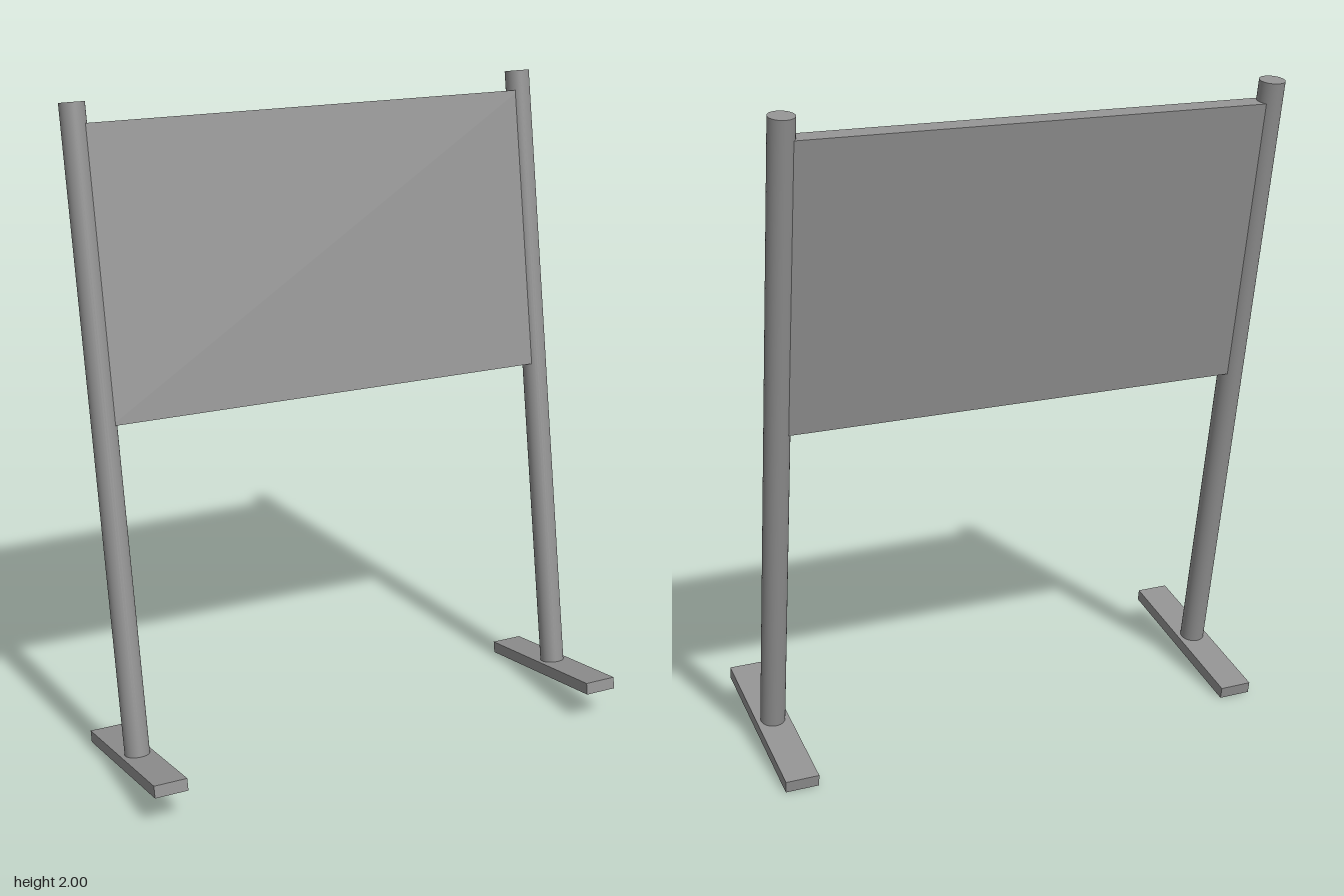
import * as THREE from 'three';

const TILT = THREE.MathUtils.degToRad(10);
const POLE = { x: 0.731, radius: 0.038, length: 1.934, bore: 0.029, boreDepth: 0.15 };
const FOOT = { width: 0.102, height: 0.037, length: 0.588, shift: -0.004 };

// Round pole with a capped top and a blind bore in its bottom end
function poleGeometry() {
  const { radius, length, bore, boreDepth } = POLE;
  const corners = [[bore, boreDepth], [bore, 0.001], [radius, 0.001], [radius, length]];
  // Doubled corner points keep the rims sharp
  const profile = [[0, boreDepth], ...corners.flatMap((c) => [c, c]), [0, length]];
  return new THREE.LatheGeometry(profile.map(([x, y]) => new THREE.Vector2(x, y)), 32);
}

// Four thin side walls, open above and below
function wallGeometry() {
  const geo = new THREE.BoxGeometry(FOOT.width, FOOT.height, FOOT.length);
  const index = Array.from(geo.index.array);
  index.splice(12, 12); // drop the +y and -y faces
  geo.setIndex(index);
  geo.clearGroups();
  return geo.translate(0, -FOOT.height / 2, FOOT.shift);
}

// Thin top plate with a hole below the pole
function plateGeometry() {
  const w = FOOT.width / 2, l = FOOT.length / 2, s = -FOOT.shift;
  const shape = new THREE.Shape([[-w, s - l], [w, s - l], [w, s + l], [-w, s + l]]
    .map(([x, y]) => new THREE.Vector2(x, y)));
  shape.holes.push(new THREE.Path().absarc(0, 0, POLE.bore, 0, Math.PI * 2, true));
  return new THREE.ShapeGeometry(shape, 16).rotateX(-Math.PI / 2);
}

export function createModel() {
  const model = new THREE.Group();
  model.name = 'signStand';
  const grey = new THREE.MeshStandardMaterial({ color: 0x929292 });
  const thinGrey = new THREE.MeshStandardMaterial({ color: 0x929292, side: THREE.DoubleSide });

  // Everything leans back together; origin is where the poles meet the feet
  const frame = new THREE.Group();
  frame.name = 'leaningFrame';
  frame.position.set(0, 0.088, 0.041);
  frame.rotation.x = -TILT;
  model.add(frame);

  const add = (name, geo, mat, x, y) => {
    const mesh = new THREE.Mesh(geo, mat);
    mesh.name = name;
    mesh.position.set(x, y, 0);
    frame.add(mesh);
  };

  // Poles and hollow feet on both sides
  const pole = poleGeometry(), walls = wallGeometry(), plate = plateGeometry();
  for (const [side, s] of [['left', 1], ['right', -1]]) {
    add(side + 'Pole', pole, grey, s * POLE.x, 0);
    add(side + 'FootWalls', walls, thinGrey, s * POLE.x, 0);
    add(side + 'FootPlate', plate, thinGrey, s * POLE.x, 0);
  }

  // Panel set between the poles
  add('panel', new THREE.BoxGeometry(1.44, 0.87, 0.055), grey, 0, 1.438);

  return model;
}
